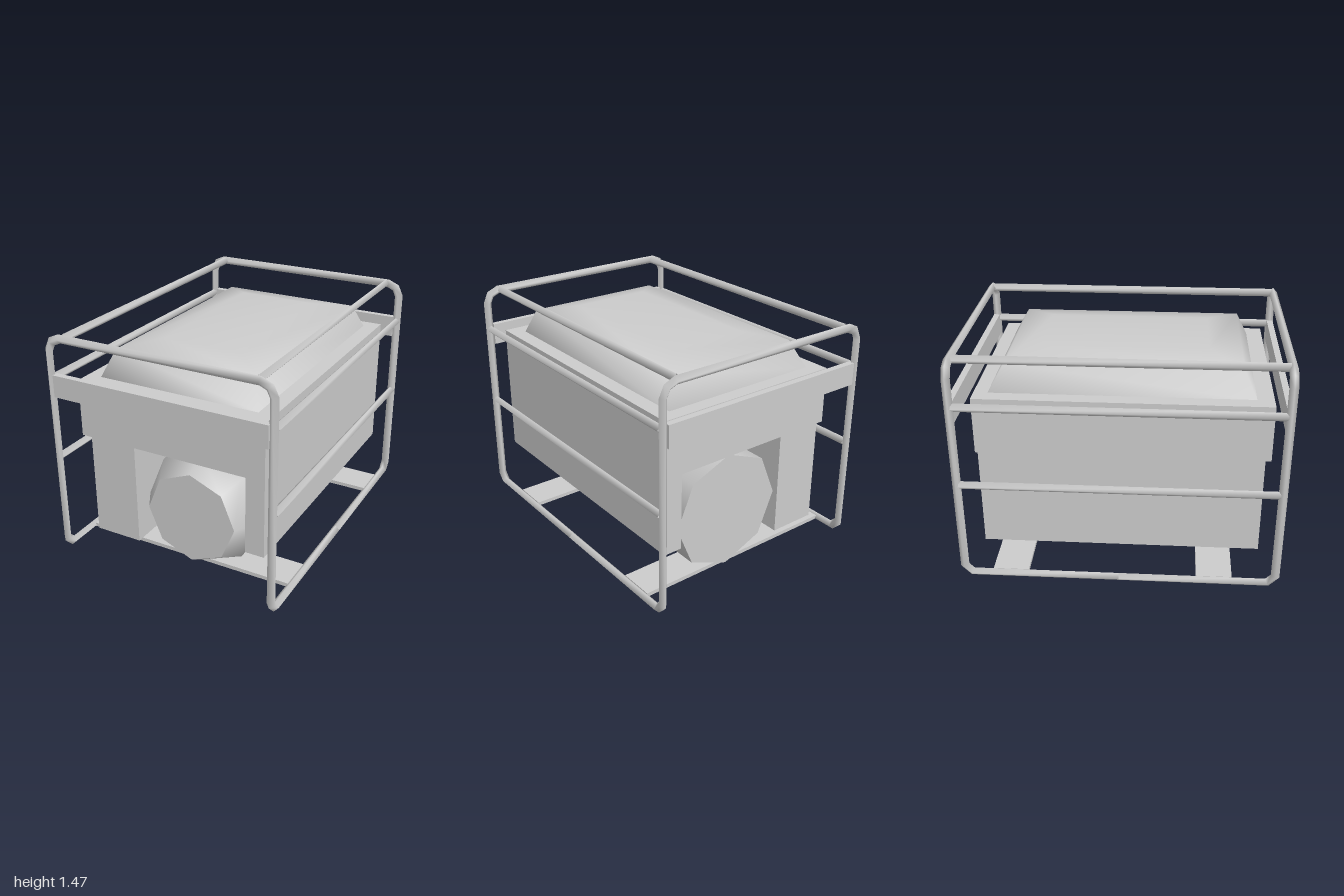
import * as THREE from 'three';

const V = (x, y, z) => new THREE.Vector3(x, y, z);

// Smooth skin over rings of points; a repeated ring makes a hard edge
function skin(rings) {
  const n = rings[0].length, index = [];
  for (let i = 0; i < rings.length - 1; i++) {
    for (let j = 0; j < n; j++) {
      const k = (j + 1) % n, a = i * n + j, b = i * n + k;
      index.push(a, b, a + n, b, b + n, a + n);
    }
  }
  const geo = new THREE.BufferGeometry().setFromPoints(rings.flat());
  geo.setIndex(index);
  geo.computeVertexNormals();
  return geo;
}

// Mitred four-sided tube along a polyline; "side" points to one of its edges
function tube(path, side, r = 0.027) {
  const dirs = path.slice(1).map((p, i) => p.clone().sub(path[i]).normalize());
  const up = dirs[0].clone().cross(side);
  let ring = [0, 1, 2, 3].map((k) => {
    const a = (k * Math.PI) / 2;
    return path[0].clone().addScaledVector(side, r * Math.cos(a)).addScaledVector(up, r * Math.sin(a));
  });
  const rings = [ring];
  dirs.forEach((d, i) => {
    const end = path[i + 1];
    const t = d.clone().add(dirs[i + 1] || d).normalize();
    ring = ring.map((p) => p.clone().addScaledVector(d, end.clone().sub(p).dot(t) / d.dot(t)));
    rings.push(ring);
  });
  return skin(rings);
}

export function createModel() {
  const model = new THREE.Group();
  model.name = 'generator';
  const grey = new THREE.MeshStandardMaterial({ color: 0xcccccc });
  const open = new THREE.MeshStandardMaterial({ color: 0xcccccc, side: THREE.DoubleSide });

  const add = (name, geo, mat = grey) => {
    const mesh = new THREE.Mesh(geo, mat);
    mesh.name = name;
    model.add(mesh);
    return mesh;
  };
  const box = (name, x0, x1, y0, y1, z0, z1) =>
    add(name, new THREE.BoxGeometry(x1 - x0, y1 - y0, z1 - z0))
      .position.set((x0 + x1) / 2, (y0 + y1) / 2, (z0 + z1) / 2);

  // Cage: each half runs along the floor, up a post, over the top and back
  const X = 0.728, Z = 0.973;
  for (const s of [1, -1]) {
    const half = [
      V(X, 0.03, 0), V(X, 0.03, s * 0.925), V(X, 0.08, s * Z),
      V(X, 1.37, s * Z), V(0.702, 1.425, s * Z), V(0.645, 1.45, s * Z),
    ];
    const mirrored = half.map((p) => V(-p.x, p.y, p.z)).reverse();
    add(s > 0 ? 'frontCageTube' : 'backCageTube', tube([...half, ...mirrored], V(1, 0, 0)), open);
  }

  // Lengthwise rails on both sides
  for (const s of [1, -1]) {
    for (const [name, x, y] of [['topRail', 0.63, 1.45], ['upperRail', X, 1.19], ['middleRail', X, 0.67]]) {
      add(name, tube([V(s * x, y, -0.96), V(s * x, y, 0.96)], V(1, 0, 0)), open);
    }
  }

  // Cross panels at both ends and floor plates
  box('frontPanel', -0.705, 0.705, 1.08, 1.22, 0.953, 0.993);
  box('backPanel', -0.705, 0.705, 1.08, 1.22, -0.993, -0.953);
  box('frontFloorPlate', -0.71, 0.71, 0.02, 0.045, 0.483, 0.708);
  box('backFloorPlate', -0.71, 0.71, 0.02, 0.045, -0.797, -0.572);

  // Housing: upper block with a skirt hanging down its left side
  const profile = new THREE.Shape([
    [-0.59, 0.82], [0.525, 0.82], [0.525, 0.33], [0.645, 0.33], [0.645, 1.18], [-0.59, 1.18],
  ].map(([x, y]) => new THREE.Vector2(x, y)));
  const housing = new THREE.ExtrudeGeometry(profile, { depth: 1.785, bevelEnabled: false });
  housing.translate(0, 0, -0.88);
  add('housing', housing);
  box('engineBlock', -0.547, -0.237, 0.15, 0.82, -0.875, 0.875);

  // Eight-sided drum, tapered at the front
  const drumProfile = [
    [0, -0.845], [0.377, -0.845], [0.377, -0.845], [0.377, 0.74],
    [0.293, 0.88], [0.293, 0.88], [0, 0.88],
  ];
  add('drum', skin(drumProfile.map(([r, z]) => Array.from({ length: 8 }, (_, k) => {
    const a = (k * Math.PI) / 4;
    return V(0.147 + r * Math.cos(a), 0.43 + r * Math.sin(a), z);
  }))));

  // Fuel tank: stacked rectangles with softly shaded edges
  const tankSections = [
    [1.178, -0.5, 0.55, -0.795, 0.803],
    [1.343, -0.435, 0.495, -0.7, 0.725],
    [1.385, -0.23, 0.287, -0.5, 0.52],
    [1.385, 0.03, 0.03, 0.01, 0.01],
  ];
  add('fuelTank', skin(tankSections.map(([y, x0, x1, z0, z1]) =>
    [V(x0, y, z1), V(x1, y, z1), V(x1, y, z0), V(x0, y, z0)])));

  return model;
}
